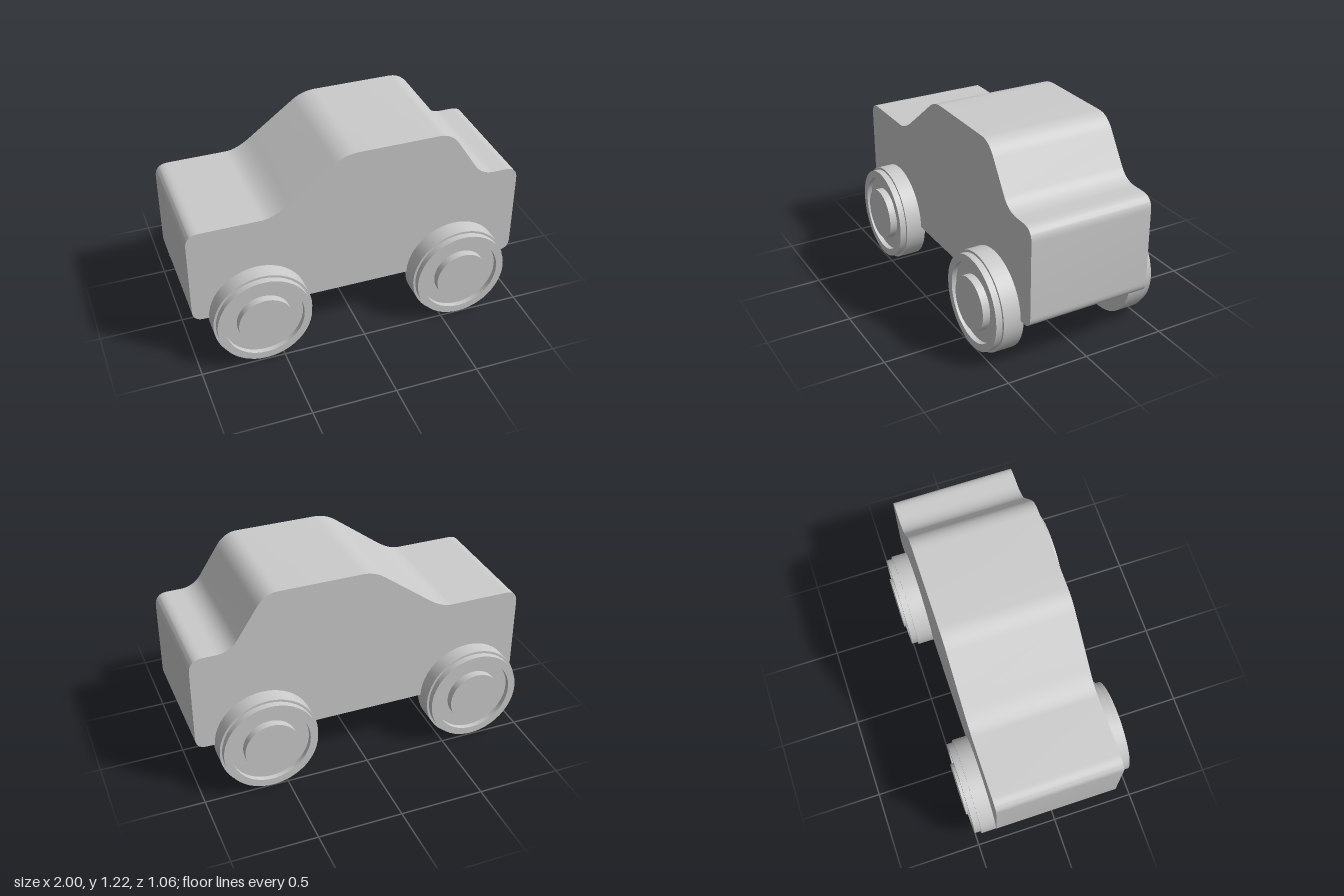
import * as THREE from 'three';
import { toCreasedNormals } from 'three/addons/utils/BufferGeometryUtils.js';

const material = new THREE.MeshStandardMaterial({ color: 0xcccccc });

// Side outline of the body: each corner is [start, control, end]
const corners = [
  [[-0.93, 0.30], [-1, 0.30], [-1, 0.37]],
  [[-1, 0.82], [-1, 0.90], [-0.92, 0.90]],
  [[-0.57, 0.90], [-0.50, 0.90], [-0.41, 0.97]],
  [[-0.14, 1.173], [-0.077, 1.22], [0, 1.22]],
  [[0.48, 1.22], [0.56, 1.22], [0.61, 1.14]],
  [[0.72, 0.97], [0.765, 0.90], [0.85, 0.90]],
  [[0.92, 0.90], [1, 0.90], [1, 0.82]],
  [[1, 0.37], [1, 0.30], [0.93, 0.30]],
];

function createBody() {
  const shape = new THREE.Shape();
  corners.forEach(([start, control, end], i) => {
    if (i === 0) shape.moveTo(...start);
    else shape.lineTo(...start);
    shape.quadraticCurveTo(...control, ...end);
  });
  shape.closePath();
  const geometry = new THREE.ExtrudeGeometry(shape, {
    depth: 0.75, bevelEnabled: false, curveSegments: 10,
  });
  geometry.translate(0, 0, -0.38);
  const body = new THREE.Mesh(toCreasedNormals(geometry, 0.5), material);
  body.name = 'body';
  return body;
}

// Wheel section as [radius, distance outward]: tyre, raised rim, recess, hub cap
const wheelSection = [
  [0, 0], [0.294, 0], [0.294, 0.122], [0.28, 0.122], [0.28, 0.16], [0.235, 0.16],
  [0.235, 0.13], [0.16, 0.13], [0.16, 0.175], [0, 0.175],
].map(([r, h]) => new THREE.Vector2(r, h));

function createWheelGeometry() {
  const geometry = new THREE.LatheGeometry(wheelSection, 48);
  geometry.rotateX(Math.PI / 2);
  return toCreasedNormals(geometry, 0.5);
}

export function createModel() {
  const model = new THREE.Group();
  model.name = 'toyCar';
  model.add(createBody());

  // Wheels sit slightly unevenly, as on a handmade toy
  const wheelGeometry = createWheelGeometry();
  const wheels = [
    ['rightFrontSideWheel', -0.61, 0.345, 1],
    ['leftFrontSideWheel', 0.61, 0.352, 1],
    ['rightBackSideWheel', -0.69, -0.348, -1],
    ['leftBackSideWheel', 0.595, -0.354, -1],
  ];
  for (const [name, x, z, side] of wheels) {
    const wheel = new THREE.Mesh(wheelGeometry, material);
    wheel.name = name;
    wheel.position.set(x, 0.298, z);
    if (side < 0) wheel.rotation.y = Math.PI;
    model.add(wheel);
  }
  return model;
}
